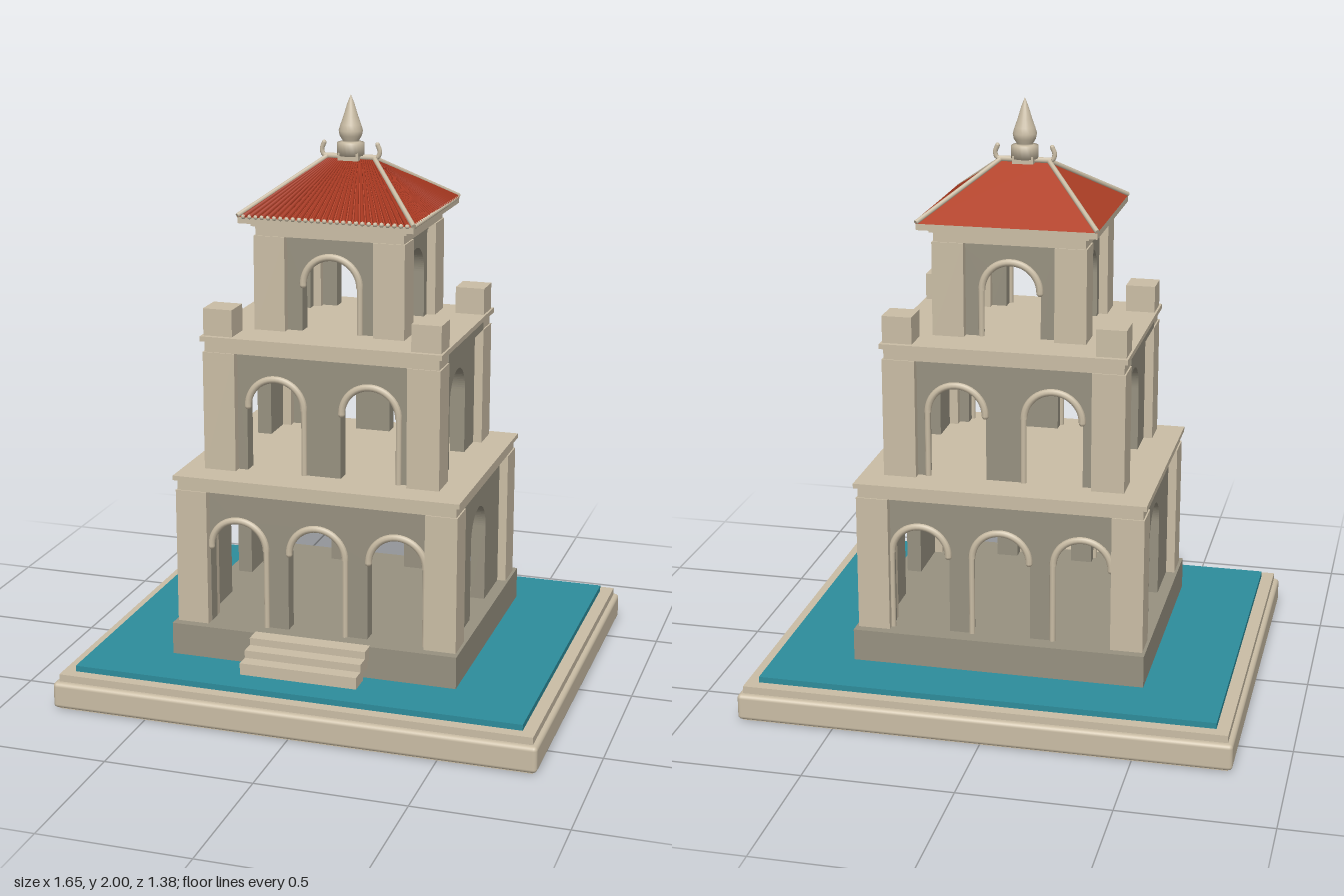
import * as THREE from 'three';
import { RoundedBoxGeometry } from 'three/addons/geometries/RoundedBoxGeometry.js';

const mat = (name, color) => Object.assign(new THREE.MeshStandardMaterial({ color }), { name });

export function createModel() {
  const stone = mat('pale stone', 0xcabda5);
  const wallMat = mat('weathered wall', 0x979180);
  const water = mat('water', 0x2d8c9b);
  const roofRed = mat('roof red', 0xb04026);
  const tileRed = mat('tile red', 0xa83820);
  const model = new THREE.Group();
  model.name = 'tower';

  const add = (name, geo, material, x = 0, y = 0, z = 0, parent = model) => {
    const m = new THREE.Mesh(geo, material);
    m.name = name;
    m.position.set(x, y, z);
    parent.add(m);
    return m;
  };
  // Box given by full width, depth and its bottom and top heights
  const slab = (name, w, d, y0, y1, material, x = 0, z = 0, parent = model) =>
    add(name, new THREE.BoxGeometry(w, y1 - y0, d), material, x, (y0 + y1) / 2, z, parent);
  // Round bar between two points
  const rod = (name, a, b, rTop, rBottom, material, sides = 6, parent = model) => {
    const dir = b.clone().sub(a);
    const m = add(name, new THREE.CylinderGeometry(rTop, rBottom, dir.length(), sides), material, 0, 0, 0, parent);
    m.position.copy(a).add(b).multiplyScalar(0.5);
    m.quaternion.setFromUnitVectors(new THREE.Vector3(0, 1, 0), dir.normalize());
    return m;
  };
  const V = (x, y, z) => new THREE.Vector3(x, y, z);

  // Base, pool and plinth
  add('base', new RoundedBoxGeometry(1.65, 0.09, 1.38, 3, 0.014), stone, 0, 0.05, 0);
  slab('baseBottom', 1.62, 1.35, 0, 0.02, stone);
  slab('baseRim', 1.615, 1.34, 0.09, 0.12, stone);
  slab('pool', 1.53, 1.26, 0.115, 0.14, water);
  slab('plinth', 0.99, 0.86, 0.13, 0.25, wallMat);
  [[0.5, 0.575, 0.16, 0.2], [0.45, 0.527, 0.183, 0.226], [0.42, 0.478, 0.205, 0.251]].forEach(([z0, z1, y0, y1]) =>
    slab('step', 0.4, z1 - z0, y0, y1, stone, 0, (z0 + z1) / 2));

  const R = 0.1; // arch radius
  const T = 0.05; // wall thickness

  // Wall with round-topped doorways cut up from its lower edge
  const wallGeometry = (half, y0, y1, spring, centres) => {
    const s = new THREE.Shape();
    s.moveTo(-half, y0);
    for (const c of centres) {
      s.lineTo(c - R, y0);
      s.lineTo(c - R, spring);
      s.absarc(c, spring, R, Math.PI, 0, true);
      s.lineTo(c + R, y0);
    }
    s.lineTo(half, y0);
    s.lineTo(half, y1);
    s.lineTo(-half, y1);
    return new THREE.ExtrudeGeometry(s, { depth: T, bevelEnabled: false, curveSegments: 20 });
  };

  // One storey: corner pillars, four pierced walls, arch trims and a two-step cornice
  const storey = ({ name, x, z, w, y0, y1, wallTop, spring, arches, cornice }) => {
    const g = new THREE.Group();
    g.name = name;
    model.add(g);
    const wx = x - 0.03, wz = z - 0.03;
    for (const sx of [-1, 1]) for (const sz of [-1, 1])
      slab('cornerPillar', w, w, y0, y1, stone, sx * (x - w / 2), sz * (z - w / 2), g);

    const long = wallGeometry(x - w, y0, wallTop, spring, arches);
    const short = wallGeometry(z - w, y0, wallTop, spring, [0]);
    add('frontWall', long, wallMat, 0, 0, wz - T, g);
    add('backWall', long, wallMat, 0, 0, -wz, g);
    add('leftWall', short, wallMat, wx - T, 0, 0, g).rotation.y = Math.PI / 2;
    add('rightWall', short, wallMat, -wx, 0, 0, g).rotation.y = Math.PI / 2;

    // Lintels closing the gap between wall and cornice
    for (const s of [-1, 1]) {
      slab('longLintel', 2 * (x - w), T + 0.01, wallTop, y1, wallMat, 0, s * (wz - T / 2), g);
      slab('shortLintel', T + 0.01, 2 * (z - w), wallTop, y1, wallMat, s * (wx - T / 2), 0, g);
    }
    // Arch trim with a slim jamb on one side
    for (const s of [-1, 1]) for (const c of arches) {
      add('archTrim', new THREE.TorusGeometry(0.097, 0.012, 8, 24, Math.PI), stone, c, spring, s * wz, g);
      add('trimEnd', new THREE.SphereGeometry(0.012, 8, 6), stone, c - 0.097, spring, s * wz, g);
      rod('jamb', V(c + 0.098, y0, s * wz), V(c + 0.098, spring, s * wz), 0.01, 0.01, stone, 8, g);
    }
    const [c0, c1] = cornice;
    slab('cornice', 2 * x - 0.01, 2 * z - 0.01, y1, c0, stone, 0, 0, g);
    slab('corniceLip', 2 * x + 0.014, 2 * z + 0.014, c0, c1, stone, 0, 0, g);
  };

  storey({ name: 'lowerStorey', x: 0.485, z: 0.4, w: 0.108, y0: 0.25, y1: 0.715, wallTop: 0.7,
    spring: 0.52, arches: [-0.275, 0, 0.275], cornice: [0.75, 0.766] });
  storey({ name: 'middleStorey', x: 0.405, z: 0.335, w: 0.11, y0: 0.778, y1: 1.18, wallTop: 1.16,
    spring: 1.0, arches: [-0.162, 0.162], cornice: [1.217, 1.234] });
  storey({ name: 'upperStorey', x: 0.257, z: 0.24, w: 0.106, y0: 1.245, y1: 1.56, wallTop: 1.54,
    spring: 1.4, arches: [0], cornice: [1.592, 1.606] });

  // Side bands and corner blocks of the middle terrace
  for (const sx of [-1, 1]) {
    slab('sideBand', 0.006, 0.45, 1.182, 1.216, wallMat, sx * 0.401, 0);
    for (const sz of [-1, 1]) slab('cornerBlock', 0.1, 0.1, 1.232, 1.325, stone, sx * 0.355, sz * 0.275);
  }

  // Hipped roof
  const EX = 0.297, EZ = 0.28, RX = 0.08, EY = 1.627, RY = 1.79;
  slab('eaves', 2 * EX, 2 * EZ, 1.606, EY, stone);
  const hip = new THREE.BufferGeometry();
  hip.setAttribute('position', new THREE.Float32BufferAttribute([
    -EX, EY, EZ, EX, EY, EZ, EX, EY, -EZ, -EX, EY, -EZ, -RX, RY, 0, RX, RY, 0], 3));
  hip.setIndex([0, 1, 5, 0, 5, 4, 1, 2, 5, 2, 3, 4, 2, 4, 5, 3, 0, 4, 0, 3, 2, 0, 2, 1]);
  const roofGeo = hip.toNonIndexed();
  roofGeo.computeVertexNormals();
  add('roof', roofGeo, roofRed);

  // Fanned tile ribs on the front and left slopes, with pale end caps
  const rib = (top, eave) => {
    rod('tileRib', eave, top, 0.003, 0.008, tileRed, 6);
    add('tileEnd', new THREE.SphereGeometry(0.008, 8, 6), stone, eave.x, eave.y, eave.z);
  };
  for (let i = 1; i < 28; i++) {
    const t = (i / 28) * 2 - 1;
    rib(V(t * RX, RY, 0), V(t * EX, EY + 0.002, EZ));
    rib(V(RX, RY, 0), V(EX, EY + 0.002, t * EZ));
  }

  // Hip ridges, top ridge and upturned horns
  for (const sx of [-1, 1]) {
    for (const sz of [-1, 1])
      rod('hipRidge', V(sx * EX, EY + 0.004, sz * EZ), V(sx * RX, RY + 0.004, 0), 0.008, 0.008, stone, 8);
    const horn = new THREE.CatmullRomCurve3([
      V(sx * 0.07, 1.793, 0), V(sx * 0.093, 1.797, 0), V(sx * 0.1, 1.815, 0), V(sx * 0.092, 1.838, 0)]);
    add('ridgeHorn', new THREE.TubeGeometry(horn, 10, 0.008, 8), stone);
    add('hornTip', new THREE.SphereGeometry(0.008, 8, 6), stone, sx * 0.092, 1.838, 0);
  }
  rod('topRidge', V(-0.09, 1.794, 0), V(0.09, 1.794, 0), 0.01, 0.01, stone, 8);

  // Finial
  slab('finialFoot', 0.07, 0.07, 1.785, 1.81, stone);
  const profile = [[0, 1.8], [0.045, 1.8], [0.045, 1.842], [0.028, 1.844], [0.028, 1.85], [0.037, 1.865],
    [0.04, 1.882], [0.034, 1.902], [0.024, 1.93], [0.012, 1.97], [0, 2.0]];
  add('finial', new THREE.LatheGeometry(profile.map(([r, y]) => new THREE.Vector2(r, y)), 20), stone);

  return model;
}
